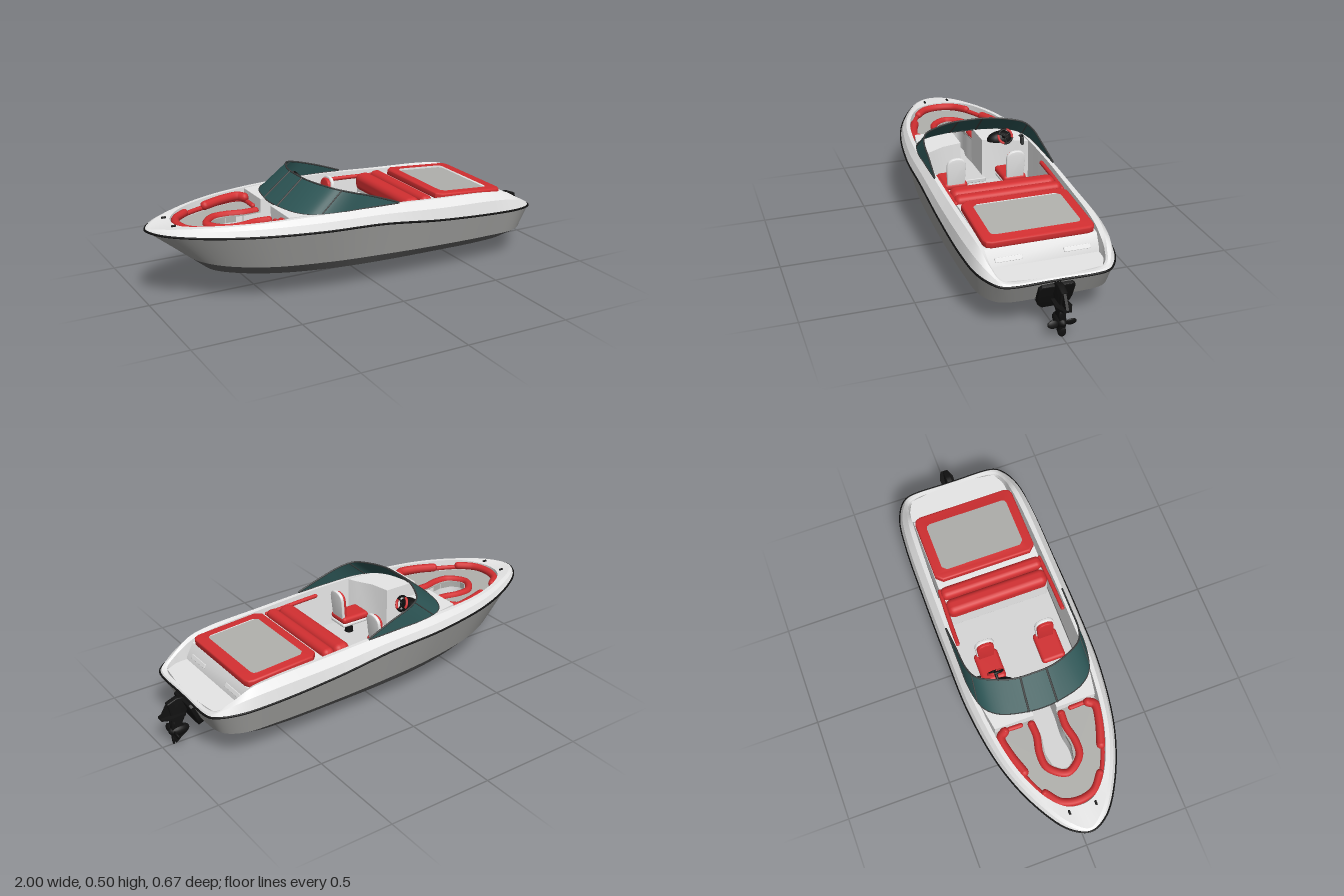
import * as THREE from 'three';
import { toCreasedNormals } from 'three/addons/utils/BufferGeometryUtils.js';
import { RoundedBoxGeometry } from 'three/addons/geometries/RoundedBoxGeometry.js';

const material = (name, color, side = THREE.FrontSide) => {
  const m = new THREE.MeshStandardMaterial({ color, side });
  m.name = name;
  return m;
};
const V = (p) => new THREE.Vector3(...p);

export function createModel() {
  const boat = new THREE.Group();
  boat.name = 'sportBoat';
  const white = material('white gelcoat', 0xe6e6e6, THREE.DoubleSide);
  const grey = material('hull grey', 0x9c9c9a, THREE.DoubleSide);
  const darkGrey = material('bottom paint grey', 0x606060, THREE.DoubleSide);
  const red = material('red upholstery', 0xd22f31);
  const pad = material('grey upholstery', 0xb0b0ac);
  const sole = material('light grey sole', 0xd6d6d6);
  const black = material('black', 0x111111);
  const glass = material('dark teal glass', 0x2c5454, THREE.DoubleSide);
  const trim = material('dark grey trim', 0x3a3c3c);

  const add = (name, geo, mat, pos = [0, 0, 0], parent = boat) => {
    const m = new THREE.Mesh(geo, mat);
    m.name = name;
    m.position.set(...pos);
    parent.add(m);
    return m;
  };
  // A half line from bow to stern becomes a full line round the boat
  const around = (half) => new THREE.CatmullRomCurve3(
    [...half.slice(1).reverse().map(([x, y, z]) => [x, y, -z]), ...half].map(V));
  const strip = (name, a, b, mat, n = 220) => {
    const pos = [], idx = [];
    for (let i = 0; i <= n; i++) {
      pos.push(...a.getPoint(i / n).toArray(), ...b.getPoint(i / n).toArray());
      if (i < n) idx.push(2 * i, 2 * i + 1, 2 * i + 2, 2 * i + 1, 2 * i + 3, 2 * i + 2);
    }
    const g = new THREE.BufferGeometry();
    g.setAttribute('position', new THREE.Float32BufferAttribute(pos, 3));
    g.setIndex(idx);
    g.computeVertexNormals();
    return add(name, g, mat);
  };
  // Padded roll or rod with round ends
  const roll = (name, pts, r, mat, parent = boat) => {
    const c = new THREE.CatmullRomCurve3(pts.map(V));
    add(name, new THREE.TubeGeometry(c, pts.length * 8, r, 10), mat, [0, 0, 0], parent);
    for (const p of [pts[0], pts[pts.length - 1]]) add(name + 'End', new THREE.SphereGeometry(r, 10, 8), mat, p, parent);
  };
  const extrude = (pts, depth, bevel = 0, hole) => {
    const s = new THREE.Shape(pts.map((p) => new THREE.Vector2(...p)));
    if (hole) s.holes.push(new THREE.Path(hole.map((p) => new THREE.Vector2(...p))));
    return toCreasedNormals(new THREE.ExtrudeGeometry(s, { depth, bevelEnabled: bevel > 0,
      bevelSize: bevel, bevelThickness: bevel, bevelSegments: 3 }), 0.7);
  };
  // Plan outline given as x, z, extruded upwards from y
  const slab = (name, pts, y, h, mat, bevel, hole, parent) =>
    add(name, extrude(pts, h, bevel, hole).rotateX(-Math.PI / 2), mat, [0, y, 0], parent);
  const mirrored = (pts) => [...pts, ...pts.slice().reverse().map(([x, z]) => [x, -z])];
  const box = (name, size, pos, mat, r = 0.015, parent = boat) =>
    add(name, new RoundedBoxGeometry(...size, 3, r), mat, pos, parent);

  // Hull and deck lines, bow to stern
  const rail = around([[-.995, .347, 0], [-.955, .344, .085], [-.82, .338, .181], [-.6, .331, .269], [-.3, .32, .319],
    [0, .308, .327], [.3, .275, .327], [.6, .254, .322], [.76, .244, .304], [.845, .236, .265], [.878, .231, .225], [.885, .23, 0]]);
  const chine = around([[-.825, .212, 0], [-.802, .203, .08], [-.72, .188, .155], [-.53, .172, .236], [-.25, .16, .283],
    [0, .152, .298], [.3, .143, .303], [.58, .138, .3], [.74, .135, .285], [.812, .134, .243], [.835, .134, .195], [.84, .134, 0]]);
  const bilge = around([[-.735, .137, 0], [-.715, .135, .066], [-.64, .131, .132], [-.48, .123, .202], [-.23, .115, .252],
    [0, .11, .268], [.3, .106, .272], [.55, .104, .27], [.68, .104, .255], [.745, .104, .22], [.77, .103, .17], [.78, .1, 0]]);
  const keel = around([[-.735, .137, 0], [-.715, .131, 0], [-.64, .122, 0], [-.48, .111, 0], [-.23, .098, 0],
    [0, .09, 0], [.3, .083, 0], [.5, .08, 0], [.6, .079, 0], [.66, .079, 0], [.69, .079, 0], [.7, .079, 0]]);
  const shoulder = around([[-.992, .353, 0], [-.947, .358, .08], [-.81, .362, .171], [-.6, .362, .256], [-.3, .358, .306],
    [0, .35, .315], [.3, .33, .317], [.6, .315, .311], [.74, .295, .293], [.82, .265, .262], [.868, .245, .226], [.878, .24, 0]]);
  const deckEdge = around([[-.982, .357, 0], [-.933, .365, .073], [-.805, .373, .157], [-.6, .38, .239], [-.3, .385, .284],
    [0, .382, .288], [.3, .367, .288], [.6, .352, .283], [.7, .335, .274], [.79, .285, .256], [.855, .247, .223], [.87, .24, 0]]);
  const innerHalf = [[-.875, .365, 0], [-.86, .366, .064], [-.787, .374, .138], [-.6, .38, .219], [-.3, .385, .265],
    [0, .382, .27], [.3, .365, .268], [.6, .345, .26], [.7, .325, .254], [.785, .277, .248], [.846, .245, .217], [.86, .24, 0]];
  const linerBase = [.31, .31, .31, .3, .17, .165, .165, .2, .235, .235, .235, .235];
  const inner = around(innerHalf);
  const liner = around(innerHalf.map(([x, , z], i) => [x, linerBase[i], z * 0.98]));
  strip('topsides', rail, chine, grey);
  strip('chineBand', chine, bilge, darkGrey);
  strip('hullBottom', bilge, keel, darkGrey);
  strip('deckSide', rail, shoulder, white);
  strip('deckShoulder', shoulder, deckEdge, white);
  strip('sideDeck', deckEdge, inner, white);
  strip('cockpitLiner', inner, liner, white);
  add('rubRail', new THREE.TubeGeometry(rail, 320, 0.005, 8), black);

  // Bow seating with a walkway slot
  const slot = [[-.43, .055], [-.52, .05], [-.6, .062], [-.66, .05], [-.69, .015]];
  const bowOutline = [[-.865, 0], [-.852, .062], [-.785, .135], [-.6, .215], [-.43, .245]];
  const flipPlan = (pts) => pts.slice().reverse().map(([x, z]) => [x, -z]);
  slab('bowSeat', [...mirrored(slot), ...flipPlan(bowOutline), ...bowOutline.slice(1)], .295, .03, pad);
  strip('walkwayWall', ...[.32, .19].map((y) => new THREE.CatmullRomCurve3(mirrored(slot).map(([x, z]) => V([x, y, z])))), white, 48);
  const flip = (pts) => pts.slice().reverse().map(([x, y, z]) => [x, y, -z]);
  const loop = (half, tip) => [...half, tip, ...flip(half)];
  roll('bowSeatEdge', loop([[-.45, .326, .072], [-.51, .326, .07], [-.59, .326, .086], [-.66, .326, .077]], [-.714, .326, 0]), 0.018, red);
  roll('bowSeatPiping', loop([[-.44, .335, .12], [-.443, .335, .215], [-.47, .337, .234], [-.6, .34, .209],
    [-.78, .34, .131], [-.844, .34, .06]], [-.858, .34, 0]), 0.011, red);
  roll('bowBackrest', loop([[-.77, .352, .13], [-.83, .35, .078]], [-.85, .35, 0]), 0.018, red);
  box('walkwaySole', [.46, .02, .13], [-.46, .185, 0], sole, .004);
  box('cockpitSole', [.6, .02, .52], [.04, .165, 0], sole, .004);

  for (const s of [1, -1]) {
    roll('bowSideBackrest', [[-.447, .354, .2], [-.47, .356, .227], [-.55, .356, .216], [-.65, .352, .183]].map(([x, y, z]) => [x, y, z * s]), .021, red);
    // Consoles either side of the walkway
    const outline = [[-.43, .055], [-.43, .24], [-.3, .262], [-.18, .266], [-.2, .22], [-.24, .15], [-.26, .055]];
    slab('console', outline.map(([x, z]) => [x, z * s]), .17, .214, white);
    // Bucket seats facing forward
    const seat = new THREE.Group();
    seat.name = 'bucketSeat';
    seat.position.set(-.1, .17, .147 * s);
    boat.add(seat);
    add('pedestal', new THREE.CylinderGeometry(.014, .022, .07, 16), black, [0, .035, 0], seat);
    box('seatShell', [.14, .02, .11], [0, .07, 0], white, .009, seat);
    box('seatCushion', [.15, .035, .115], [-.005, .093, 0], red, .016, seat);
    const arch = [];
    for (let i = 0; i <= 12; i++) {
      const a = i * Math.PI / 12;
      arch.push([Math.sign(Math.cos(a)) * Math.abs(Math.cos(a)) ** .8 * .042, .1 + Math.sin(a) ** .8 * .04]);
    }
    const back = new THREE.Group();
    back.name = 'seatBack';
    back.position.set(.055, .095, 0);
    back.rotation.z = -.1;
    seat.add(back);
    const backShape = [[-.037, 0], [.037, 0], ...arch];
    add('backShell', extrude(backShape, .006, .005).rotateY(Math.PI / 2), white, [0, 0, 0], back);
    add('backPad', extrude(backShape.map(([a, b]) => [a * .85, b * .9]), .008, .005).rotateY(Math.PI / 2), red, [-.015, .004, 0], back);
    // Coaming cushions, bow cleats and stern vents
    roll('coamingPad', [[.02, .352, .259 * s], [.15, .348, .256 * s], [.3, .342, .25 * s]], .01, red);
    box('bowCleat', [.022, .008, .01], [-.89, .371, .062 * s], black, .003);
    const vent = box('ventPanel', [.008, .02, .12], [.72, .27, .152 * s], white, .002);
    vent.rotation.z = .46;
  }

  // Helm
  const pod = add('instrumentPod', new THREE.SphereGeometry(1, 20, 10, 0, Math.PI * 2, 0, Math.PI / 2), black, [-.25, .38, -.145]);
  pod.scale.set(.04, .045, .068);
  const helm = new THREE.Group();
  helm.name = 'steeringWheel';
  helm.position.set(-.19, .42, -.15);
  helm.rotation.y = Math.PI / 2;
  boat.add(helm);
  const tilted = new THREE.Group();
  tilted.name = 'wheelRim';
  tilted.rotation.x = -.45;
  helm.add(tilted);
  for (let i = 0; i < 4; i++) {
    const arc = add('rimPart', new THREE.TorusGeometry(.034, .006, 8, 10, Math.PI / 2), i % 2 ? black : red, [0, 0, 0], tilted);
    arc.rotation.z = i * Math.PI / 2 - .3;
  }
  for (let i = 0; i < 3; i++) {
    const a = i * Math.PI * 2 / 3 + Math.PI / 6;
    roll('spoke', [[0, 0, 0], [Math.cos(a) * .033, Math.sin(a) * .033, 0]], .004, black, tilted);
  }
  roll('steeringColumn', [[0, 0, 0], [0, 0, -.05]], .007, black, tilted);
  box('throttleBox', [.03, .04, .014], [-.19, .388, -.237], trim, .004);
  roll('throttleLever', [[-.19, .395, -.236], [-.185, .416, -.236], [-.185, .416, -.222]], .005, black);

  // Wraparound windscreen
  const base = around([[-.41, .383, 0], [-.4, .383, .1], [-.37, .383, .2], [-.32, .383, .255], [-.22, .384, .283], [-.08, .383, .287], [.1, .38, .288]]);
  const top = around([[-.275, .493, 0], [-.27, .492, .09], [-.24, .487, .18], [-.2, .479, .245], [-.14, .463, .271], [-.03, .43, .279], [.1, .383, .287]]);
  strip('windscreenGlass', base, top, glass, 72);
  add('windscreenTopFrame', new THREE.TubeGeometry(top, 72, .004, 8), trim);
  add('windscreenBaseFrame', new THREE.TubeGeometry(base, 72, .003, 8), trim);
  for (const [k, r] of [[-3.4, .003], [-.68, .005], [.68, .005], [3.4, .003]]) {
    const t = (6 + k) / 12;
    roll('windscreenPost', [base.getPoint(t).toArray(), top.getPoint(t).toArray()], r, trim);
  }

  // Rear bench
  box('benchBase', [.1, .13, .5], [.23, .235, 0], white, .01);
  box('benchBackrest', [.08, .085, .495], [.205, .327, 0], red, .03);
  box('benchHeadroll', [.06, .06, .5], [.28, .34, 0], red, .025);

  // Engine cover, sun pad and swim platform
  add('engineCover', extrude([[.27, .17], [.27, .335], [.34, .343], [.695, .315], [.73, .25], [.73, .17]], .5), white, [0, 0, -.25]);
  const sunPad = new THREE.Group();
  sunPad.name = 'sunPad';
  sunPad.position.set(.335, .348, 0);
  sunPad.rotation.z = -.07;
  boat.add(sunPad);
  const padRing = (x0, x1, z, c) => mirrored([[x0, z - c], [x0 + c, z], [x1 - c, z], [x1 - c * .3, z - c * .3], [x1, z - c]]);
  slab('sunPadBorder', padRing(.012, .355, .24, .025), -.002, .018, red, .008, padRing(.048, .308, .203, .02), sunPad);
  slab('sunPadCentre', padRing(.03, .325, .22, .02), -.004, .013, pad, 0, undefined, sunPad);
  slab('swimPlatform', mirrored([[.68, .252], [.785, .246], [.846, .215], [.862, .1]]), .228, .012, white);

  // Stern drive
  const shield = extrude([[-.048, -.066], [.048, -.066], [.068, -.045], [.074, -.015], [.075, .05], [.066, .06], [-.066, .06],
    [-.075, .05], [-.074, -.015], [-.068, -.045]], .03, .004).rotateY(Math.PI / 2);
  add('transomShield', shield, black, [.838, .163, 0]).rotation.z = -.4;
  add('driveLeg', extrude([[.86, .2], [.89, .222], [.92, .225], [.96, .21], [.95, .165], [.945, .13], [.95, .05], [.935, .012],
    [.915, .03], [.885, .05], [.905, .1], [.885, .14]], .02, .004), black, [0, 0, -.01]);
  slab('cavitationPlate', mirrored([[.89, .03], [.96, .035], [1, .018]]), .143, .009, black);
  add('driveFin', extrude([[.93, .21], [.962, .213], [1, .15], [.93, .15]], .012), black, [0, 0, -.006]);
  const gear = add('gearcase', new THREE.SphereGeometry(1, 16, 12), black, [.915, .065, 0]);
  gear.scale.set(.05, .026, .026);
  for (let i = 0; i < 4; i++) {
    const hub = new THREE.Group();
    hub.name = 'propellerBlade';
    hub.position.set(.945, .064, 0);
    hub.rotation.x = i * Math.PI / 2;
    boat.add(hub);
    const blade = add('blade', new THREE.SphereGeometry(1, 14, 10), black, [0, .04, 0], hub);
    blade.scale.set(.007, .024, .018);
    blade.rotation.y = .3;
  }
  return boat;
}
